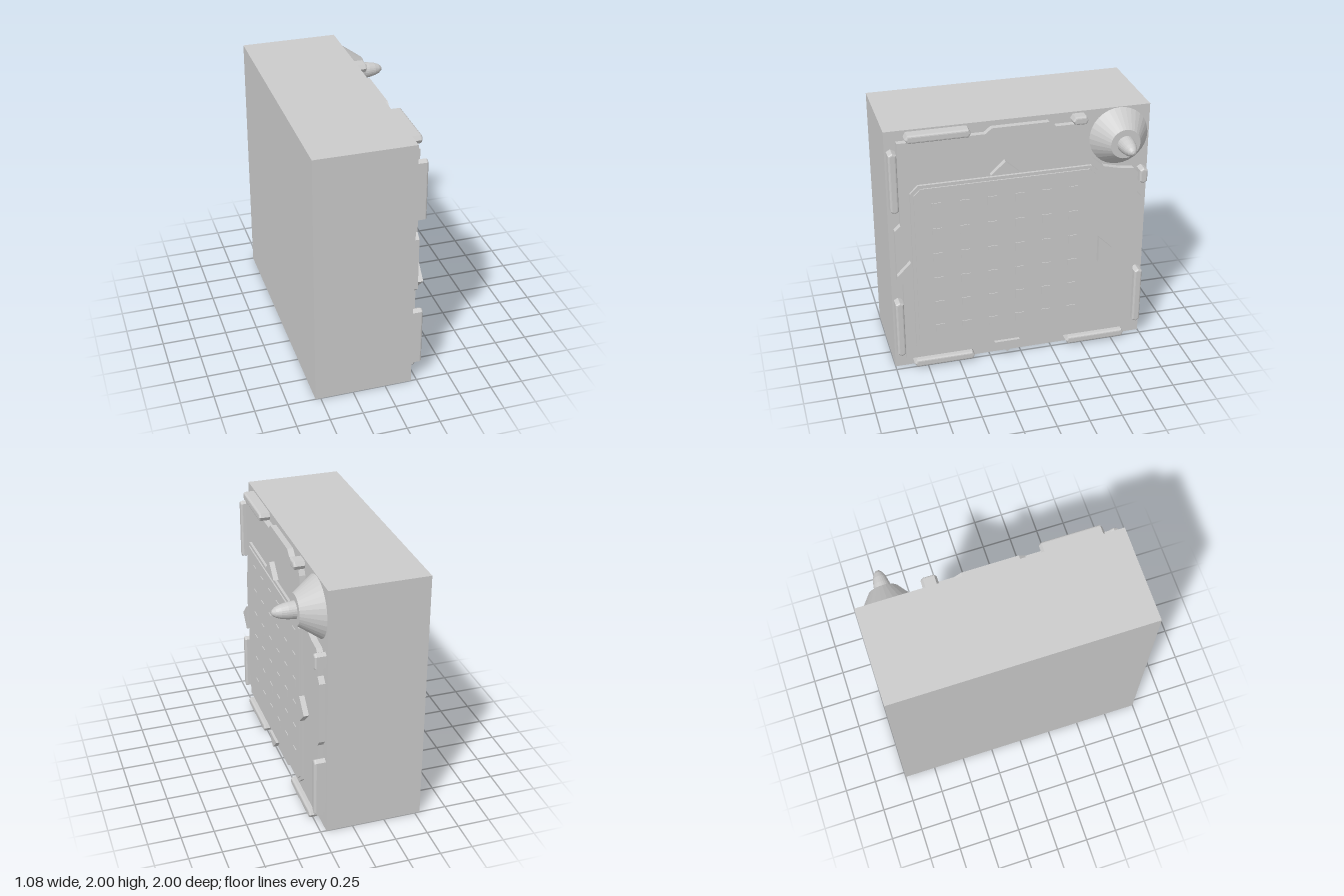
import * as THREE from 'three';

const FACE = 0.205;   // x of the case's control face
const PLATE = 0.25;   // x of the cover plate's surface

export function createModel() {
  const model = new THREE.Group();
  const mat = new THREE.MeshStandardMaterial({ color: 0xcccccc, flatShading: true });

  const add = (name, geometry) => {
    const mesh = new THREE.Mesh(geometry, mat);
    mesh.name = name;
    model.add(mesh);
    return mesh;
  };

  // Outlines are lists of [z, y]; slabs extrude them along +x.
  const vectors = (pts) => pts.map(([z, y]) => new THREE.Vector2(-z, y));
  const slab = (name, pts, x0, x1, hole, bevel = 0) => {
    const shape = new THREE.Shape(vectors(pts));
    if (hole) shape.holes.push(new THREE.Path(vectors(hole)));
    const geo = new THREE.ExtrudeGeometry(shape, {
      depth: x1 - x0 - bevel, bevelEnabled: bevel > 0, bevelThickness: bevel,
      bevelSize: bevel, bevelOffset: -bevel, bevelSegments: 3,
    });
    geo.rotateY(Math.PI / 2);
    geo.translate(x0, 0, 0);
    return add(name, geo);
  };

  // Case
  const body = new THREE.BoxGeometry(FACE + 0.54, 2, 2);
  body.translate((FACE - 0.54) / 2, 1, 0);
  add('case', body);

  // Cover plate with a tab on each side and a curved cutout at the knob
  slab('coverPlate', [
    [0.915, 1.92], [0.27, 1.92], [0.22, 1.96], [-0.21, 1.96], [-0.26, 1.92], [-0.48, 1.92],
    [-0.5, 1.88], [-0.51, 1.76], [-0.55, 1.63], [-0.64, 1.55], [-0.78, 1.515], [-0.88, 1.505],
    [-0.915, 1.47], [-0.915, 1.3], [-0.955, 1.255], [-0.955, 0.77], [-0.915, 0.72], [-0.915, 0.085],
    [-0.22, 0.085], [-0.17, 0.045], [0.22, 0.045], [0.27, 0.085], [0.915, 0.085],
    [0.915, 0.76], [0.96, 0.8], [0.96, 1.22], [0.915, 1.26],
  ], FACE, PLATE);

  // Stepped screen frame with clipped corners
  const clipped = (h, c) => [
    [h, h - c], [h - c, h], [c - h, h], [-h, h - c],
    [-h, c - h], [c - h, -h], [h - c, -h], [h, c - h],
  ].map(([z, y]) => [z + 0.12, y + 0.862]);
  slab('frameBase', clipped(0.718, 0.06), PLATE, 0.27, clipped(0.645, 0.04));
  slab('frameRidge', clipped(0.693, 0.05), 0.26, 0.28, clipped(0.666, 0.045));
  slab('screen', clipped(0.65, 0.04), PLATE, 0.262);

  // Small raised squares on the screen
  for (let i = 0; i < 6; i++) {
    for (let j = 0; j < 6; j++) {
      const dot = new THREE.BoxGeometry(0.012, 0.07, 0.07);
      dot.translate(0.262, 0.862 + (j - 2.5) * 0.21, 0.12 + (i - 2.5) * 0.21);
      add('screenDot', dot);
    }
  }

  // Direction arrows around the screen
  [
    ['arrowUp', [[0.24, 1.603], [0.02, 1.603], [0.13, 1.705]]],
    ['arrowDown', [[0.22, 0.14], [0.12, 0.04], [0.02, 0.14]]],
    ['arrowFront', [[0.857, 0.753], [0.857, 0.963], [0.96, 0.858]]],
    ['arrowBack', [[-0.61, 0.745], [-0.72, 0.855], [-0.61, 0.963]]],
  ].forEach(([name, pts]) => slab(name, pts, PLATE, 0.29));

  // Edge rails with pointed ends and rounded tops: along z, then along y
  const rail = (a, b, across, upright) => {
    const w = 0.031, t = 0.018;
    const pts = [
      [a, across], [a + t, across + w], [b - t, across + w],
      [b, across], [b - t, across - w], [a + t, across - w],
    ];
    slab('edgeRail', upright ? pts.map(([p, q]) => [q, p]) : pts, FACE, 0.29, null, 0.015);
  };
  [[0.38, 0.86, 1.955], [-0.5, -0.38, 1.955], [0.38, 0.86, 0.05], [-0.85, -0.365, 0.05]]
    .forEach(([a, b, y]) => rail(a, b, y, false));
  [[1.38, 1.865, 0.955], [0.14, 0.625, 0.955], [1.38, 1.51, -0.95], [0.14, 0.625, -0.95]]
    .forEach(([a, b, z]) => rail(a, b, z, true));

  // Corner knob: a wide cone with a bullet-shaped tip
  const turned = (name, pts, sides) => {
    const geo = new THREE.LatheGeometry(pts.map(([r, x]) => new THREE.Vector2(r, x)), sides);
    geo.rotateZ(-Math.PI / 2);
    geo.translate(0, 1.768, -0.762);
    add(name, geo);
  };
  turned('knobCone', [[0.228, FACE], [0.114, 0.365], [0, 0.365]], 32);
  turned('knobTip', [
    [0.065, 0.36], [0.06, 0.42], [0.05, 0.47], [0.036, 0.505], [0.018, 0.528], [0, 0.535],
  ], 24);

  return model;
}
